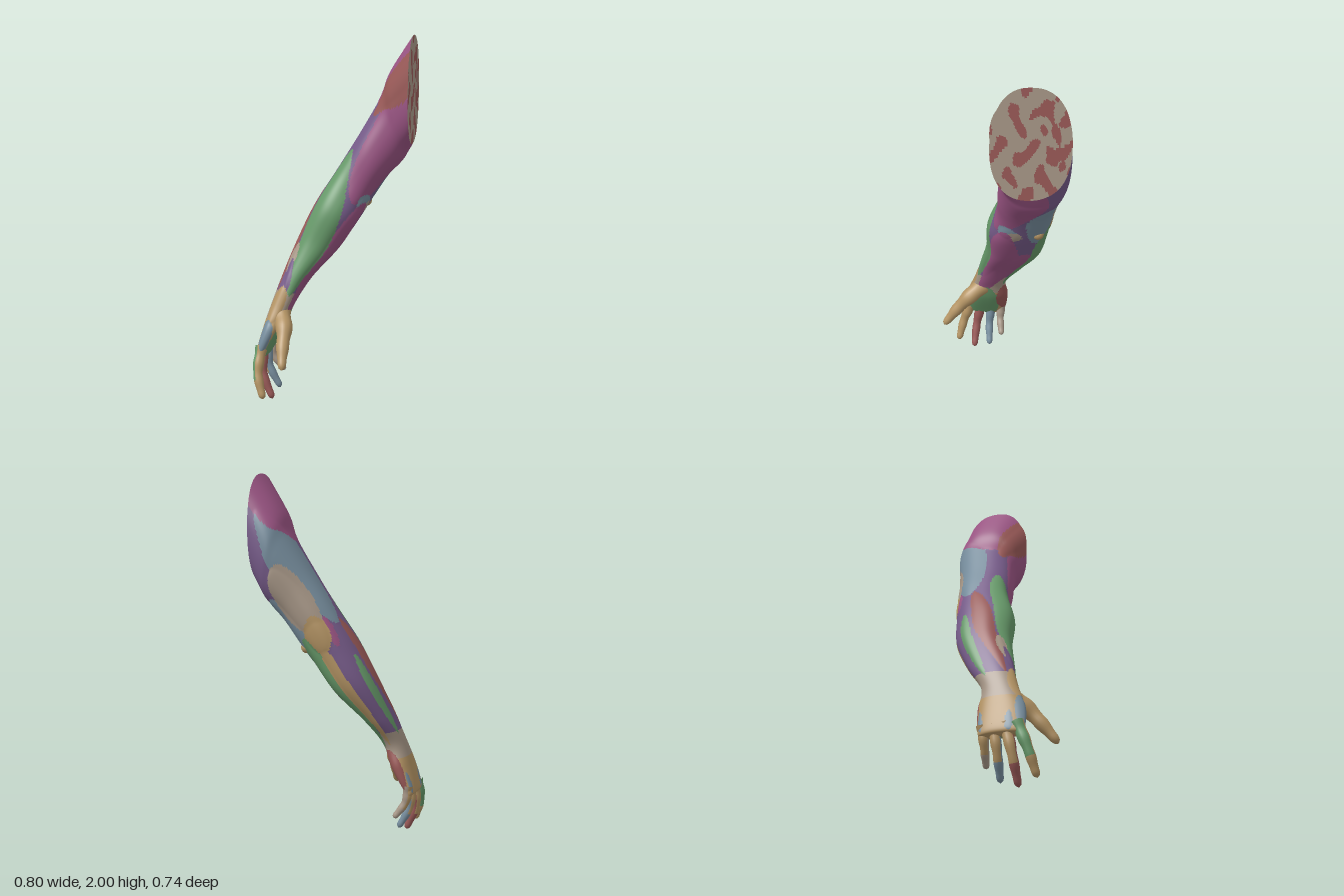
import * as THREE from 'three';

const mat = (name, color) => new THREE.MeshStandardMaterial({ name, color });
const magenta = mat('magenta muscle', 0x9b5584);
const purple = mat('purple muscle', 0x775c8a);
const green = mat('green muscle', 0x689b6b);
const blue = mat('slate blue muscle', 0x788f9f);
const beige = mat('beige tendon', 0xa89888);
const ochre = mat('ochre bone', 0xb59565);
const red = mat('red muscle', 0x9a5a58);

// Sections from shoulder to knuckles: outer edge x,y, inner edge x,y, front z, back z
const SECTIONS = [
  [.4, 1.99, .4, 1.41, .035, -.37],
  [.275, 1.8, .37, 1.36, 0, -.37],
  [.225, 1.68, .34, 1.31, -.01, -.355],
  [.115, 1.48, .26, 1.22, .01, -.31],
  [.005, 1.3, .195, 1.12, .025, -.285],
  [-.115, 1.1, .12, .99, .08, -.255],
  [-.21, .9, .01, .83, .093, -.212],
  [-.285, .7, -.13, .67, .143, -.11],
  [-.335, .54, -.21, .53, .185, -.01],
  [-.37, .42, -.26, .4, .235, -.01],
  [-.405, .28, -.335, .265, .245, .005],
  [-.39, .25, -.35, .24, .225, .02],
];
const LAST = SECTIONS.length - 1;

// A muscle is a spindle: first and last section, angle at each end, greatest width.
// Angles: 0 outer edge, 90 front, 180 inner edge, -90 or 270 back
const strand = (name, material, t0, t1, a0, a1, width) => ({ name, material, t0, t1, a0, a1, width });
const STRANDS = [
  strand('medialTriceps', blue, 2.2, 5, 215, 220, 74),
  strand('lateralTriceps', blue, .3, 4.4, -62, -22, 92),
  strand('tricepsTendon', beige, 2, 4.5, -96, -76, 78),
  strand('biceps', magenta, -2, 4.5, 140, 118, 145),
  strand('deltoid', magenta, -1.5, 2.2, -8, 14, 135),
  strand('frontDeltoid', red, -1, 2.4, 84, 38, 54),
  strand('elbowMuscle', magenta, 4.1, 4.9, -48, -56, 22),
  strand('elbowCrease', blue, 4, 4.7, 146, 155, 48),
  strand('elbowTendon', beige, 4.2, 4.8, 165, 168, 30),
  strand('elbowPoint', ochre, 3.9, 4.9, -80, -90, 62),
  strand('littleExtensor', green, 5.2, 7.6, -28, -20, 30),
  strand('wristExtensor', red, 4.3, 7.5, -8, 40, 40),
  strand('innerFlexor', magenta, 4.3, 7.8, 150, 156, 68),
  strand('wristFlexor', magenta, 5.6, 8.5, 198, 160, 78),
  strand('ulnarFlexor', green, 4.2, 8.1, 240, 238, 56),
  strand('ulna', ochre, 4.3, 8, -92, -90, 24),
  strand('brachioradialis', green, 3.4, 7.6, 40, 112, 86),
  strand('thumbTendon', beige, 6.1, 6.9, 45, 55, 32),
  strand('thumbExtensor', purple, 6.5, 7.4, 55, 88, 28),
  strand('wristThumbSide', ochre, 7.3, 8.8, 72, 75, 75),
  strand('thumbWeb', blue, 8.6, 10.2, 68, 88, 76),
  strand('knuckleMuscle', blue, 9.2, 10.1, -55, -55, 24),
  strand('knuckleMuscle', blue, 9.3, 10.2, 22, 22, 22),
  strand('palm', green, 8.2, 11, 168, 168, 95),
  strand('palmHeel', red, 8.2, 9.9, 246, 252, 88),
];

// Regions beneath the strands
const CORE = { name: 'armCore', material: purple };
const WRIST = { name: 'wristBand', material: beige };
const HAND = { name: 'handBack', material: ochre };
const baseRegion = (t) => (t < 7.5 ? CORE : t < 8.6 ? WRIST : HAND);

// Height of a strand at a surface point: 0 outside, up to 1 along its middle
function strandHeight(s, t, deg) {
  if (t <= s.t0 || t >= s.t1) return 0;
  const f = (t - s.t0) / (s.t1 - s.t0);
  const spindle = Math.sqrt(Math.sin(Math.PI * f));
  const off = THREE.MathUtils.euclideanModulo(deg - THREE.MathUtils.lerp(s.a0, s.a1, f) + 180, 360) - 180;
  const u = Math.abs(off) / (s.width / 2 * spindle);
  return u < 1 ? Math.cos(u * Math.PI / 2) * spindle : 0;
}
const regionAt = (t, deg) => STRANDS.findLast((s) => strandHeight(s, t, deg) > 0) ?? baseRegion(t);

// Smooth tracks through the section edges
const track = (k, l) => new THREE.CatmullRomCurve3(
  SECTIONS.map((s) => new THREE.Vector3(s[k], s[l], 0)), false, 'catmullrom', 0.5);
const outer = track(0, 1), inner = track(2, 3), depth = track(4, 5);

// Point on the arm surface, swelling gently over each muscle
function armPoint(t, deg, scale = 1) {
  const O = outer.getPoint(t / LAST), I = inner.getPoint(t / LAST), Z = depth.getPoint(t / LAST);
  const swell = Math.max(...STRANDS.map((s) => strandHeight(s, t, deg) * Math.min(1, s.width / 60)));
  const r = scale * (0.97 + 0.06 * swell);
  const a = THREE.MathUtils.degToRad(deg);
  const soft = (v) => Math.sign(v) * Math.abs(v) ** 0.86 * r;
  const mid = O.clone().add(I).multiplyScalar(0.5);
  const p = mid.clone().addScaledVector(O.sub(mid), soft(Math.cos(a)));
  p.z = (Z.x + Z.y) / 2 + soft(Math.sin(a)) * (Z.x - Z.y) / 2;
  return p;
}

// Grid of closed rings, split into one mesh per region
function paintedGrid(rows, cols, point, pick) {
  const pos = [], index = [], cells = new Map();
  for (let i = 0; i <= rows; i++) for (let j = 0; j < cols; j++) pos.push(...point(i, j).toArray());
  for (let i = 0; i < rows; i++) for (let j = 0; j < cols; j++) {
    const a = i * cols + j, b = i * cols + (j + 1) % cols, c = a + cols, d = b + cols;
    const region = pick(i + 0.5, j + 0.5);
    if (!cells.has(region)) cells.set(region, []);
    cells.get(region).push(a, c, d, a, d, b);
    index.push(a, c, d, a, d, b);
  }
  const whole = new THREE.BufferGeometry();
  whole.setAttribute('position', new THREE.Float32BufferAttribute(pos, 3));
  whole.setIndex(index);
  whole.computeVertexNormals();
  return [...cells].map(([region, list]) => {
    whole.setIndex(list);
    const mesh = new THREE.Mesh(whole.toNonIndexed(), region.material);
    mesh.name = region.name;
    return mesh;
  });
}

// Finger: rings along a curve, tapering to a rounded tip, with its own colour on the back
function finger(name, material, backMaterial, points, r0, r1) {
  const curve = new THREE.CatmullRomCurve3(points);
  const rows = 30, cols = 16;
  const main = { name, material }, back = { name: name + 'Back', material: backMaterial };
  const ring = (i, j) => {
    const u = i / rows, a = j / cols * Math.PI * 2;
    const tip = u > 0.88 ? Math.sqrt(Math.max(0, 1 - ((u - 0.88) / 0.12) ** 2)) : 1;
    const r = (r0 + (r1 - r0) * u) * tip * (1 + 0.06 * Math.cos(u * Math.PI * 6));
    const along = curve.getTangentAt(u);
    const out = new THREE.Vector3(-1, 0, 0).projectOnPlane(along).normalize();
    const side = out.clone().cross(along);
    return curve.getPointAt(u).addScaledVector(out, r * Math.cos(a)).addScaledVector(side, r * Math.sin(a));
  };
  return paintedGrid(rows, cols, ring,
    (i, j) => (i < rows * 0.65 && Math.cos(j / cols * Math.PI * 2) > 0.2 ? back : main));
}

export function createModel() {
  const model = new THREE.Group();
  model.name = 'muscleArm';
  const vec = (x, y, z) => new THREE.Vector3(x, y, z);

  // Arm and palm, closed at the knuckles
  const rows = 198, cols = 120;
  const along = (i) => i / rows * LAST, around = (j) => j / cols * 360;
  model.add(...paintedGrid(rows, cols,
    (i, j) => armPoint(along(i), around(j), i < rows ? 1 : 0),
    (i, j) => regionAt(along(i), around(j))));

  // Flat cut through the shoulder, mottled in two colours
  const flesh = { name: 'shoulderCut', material: beige };
  const patches = { name: 'shoulderCutPatches', material: red };
  const cutPoint = (i, j) => armPoint(0, around(j), i / 30);
  model.add(...paintedGrid(30, cols, cutPoint, (i, j) => {
    const { y, z } = cutPoint(i, j);
    const n = Math.sin(y * 31 + 2 * Math.sin(z * 37)) + Math.sin(z * 43 + 2 * Math.sin(y * 23));
    return n - z * 2 > 0.6 ? patches : flesh;
  }));

  // Inner elbow knob
  const knob = new THREE.Mesh(new THREE.SphereGeometry(0.032, 20, 14), ochre);
  knob.name = 'elbowKnob';
  knob.position.set(0.135, 1.08, -0.2);
  model.add(knob);

  // Thumb
  model.add(...finger('thumb', ochre, ochre,
    [vec(-.28, .49, .13), vec(-.235, .425, .215), vec(-.222, .34, .29), vec(-.205, .235, .37)], .056, .021));

  // Four fingers fanned from the knuckles, each curling in towards its tip
  [
    ['indexFinger', ochre, green, vec(-.335, .035, .297)],
    ['middleFinger', red, ochre, vec(-.31, .003, .197)],
    ['ringFinger', blue, ochre, vec(-.292, .037, .1)],
    ['littleFinger', beige, ochre, vec(-.287, .115, .025)],
  ].forEach(([name, material, backMaterial, tip], i) => {
    const base = vec(-.366, .31, .208 - .06 * i);
    const middle = base.clone().lerp(tip, 0.5);
    middle.x -= i ? 0.035 - 0.003 * i : 0.022;
    middle.z += 0.01;
    model.add(...finger(name, material, backMaterial, [base, middle, tip], .034 - .002 * i, .02 - .001 * i));
  });
  return model;
}
